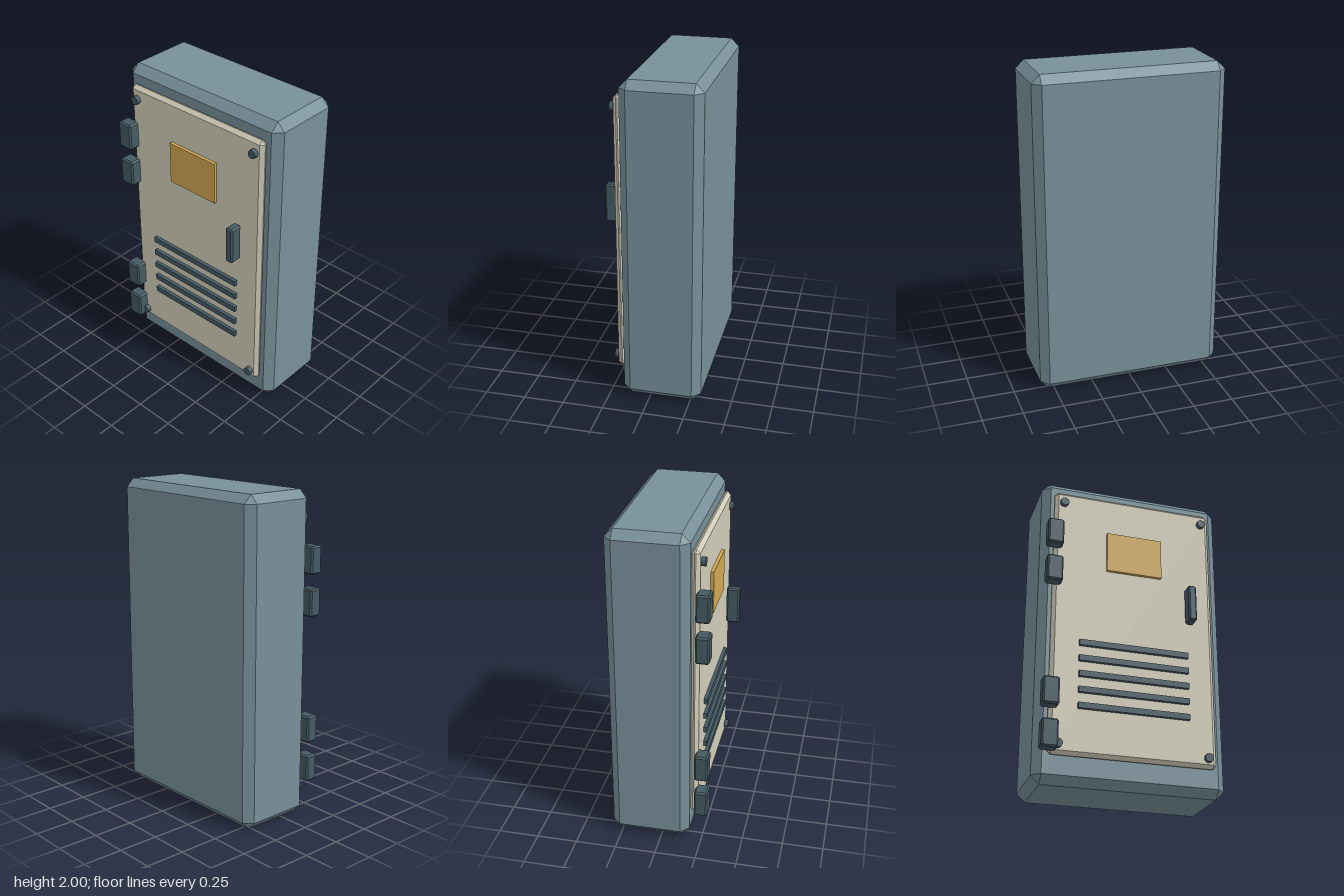
import * as THREE from 'three';
import { ConvexGeometry } from 'three/addons/geometries/ConvexGeometry.js';

const paint = (name, color) => {
  const m = new THREE.MeshStandardMaterial({ color });
  m.name = name;
  return m;
};

// Box with flat chamfers of width c on every edge
function chamferBox(w, h, d, c) {
  const points = [];
  for (const sx of [-1, 1]) for (const sy of [-1, 1]) for (const sz of [-1, 1]) {
    const x = w / 2, y = h / 2, z = d / 2;
    points.push(
      new THREE.Vector3(sx * x, sy * (y - c), sz * (z - c)),
      new THREE.Vector3(sx * (x - c), sy * y, sz * (z - c)),
      new THREE.Vector3(sx * (x - c), sy * (y - c), sz * z)
    );
  }
  return new ConvexGeometry(points);
}

export function createModel() {
  const model = new THREE.Group();
  model.name = 'electricalCabinet';

  const steel = paint('blue grey steel', 0x78909a);
  const cream = paint('cream door', 0xd2cebb);
  const dark = paint('dark fittings', 0x455a64);
  const ochre = paint('ochre plate', 0xd0a753);

  const add = (name, geometry, material, x, y, z) => {
    const mesh = new THREE.Mesh(geometry, material);
    mesh.name = name;
    mesh.position.set(x, y, z);
    model.add(mesh);
    return mesh;
  };

  // Cabinet shell and door
  add('body', chamferBox(1.168, 2, 0.485, 0.05), steel, 0, 1, -0.072);
  add('door', chamferBox(1.026, 1.74, 0.052, 0.022), cream, 0, 1.03, 0.19);

  // Label plate
  add('labelPlate', new THREE.BoxGeometry(0.355, 0.266, 0.022), ochre, 0, 1.504, 0.225);

  // Hinge blocks on the model's right edge
  const hinge = chamferBox(0.1, 0.17, 0.083, 0.01);
  [1.573, 1.316, 0.517, 0.26].forEach((y, i) => add(`hinge${i + 1}`, hinge, dark, -0.515, y, 0.243));

  // Door handle
  add('handle', chamferBox(0.053, 0.24, 0.083, 0.01), dark, 0.355, 1.19, 0.27);

  // Vent slats
  const slat = new THREE.BoxGeometry(0.685, 0.036, 0.026);
  for (let i = 0; i < 5; i++) add(`ventSlat${i + 1}`, slat, dark, 0, 0.46 + i * 0.1, 0.225);

  // Corner screws
  const screw = new THREE.CylinderGeometry(0.027, 0.027, 0.032, 10).rotateX(Math.PI / 2);
  for (const x of [-0.457, 0.457]) for (const y of [0.218, 1.818]) add('screw', screw, dark, x, y, 0.227);

  return model;
}
